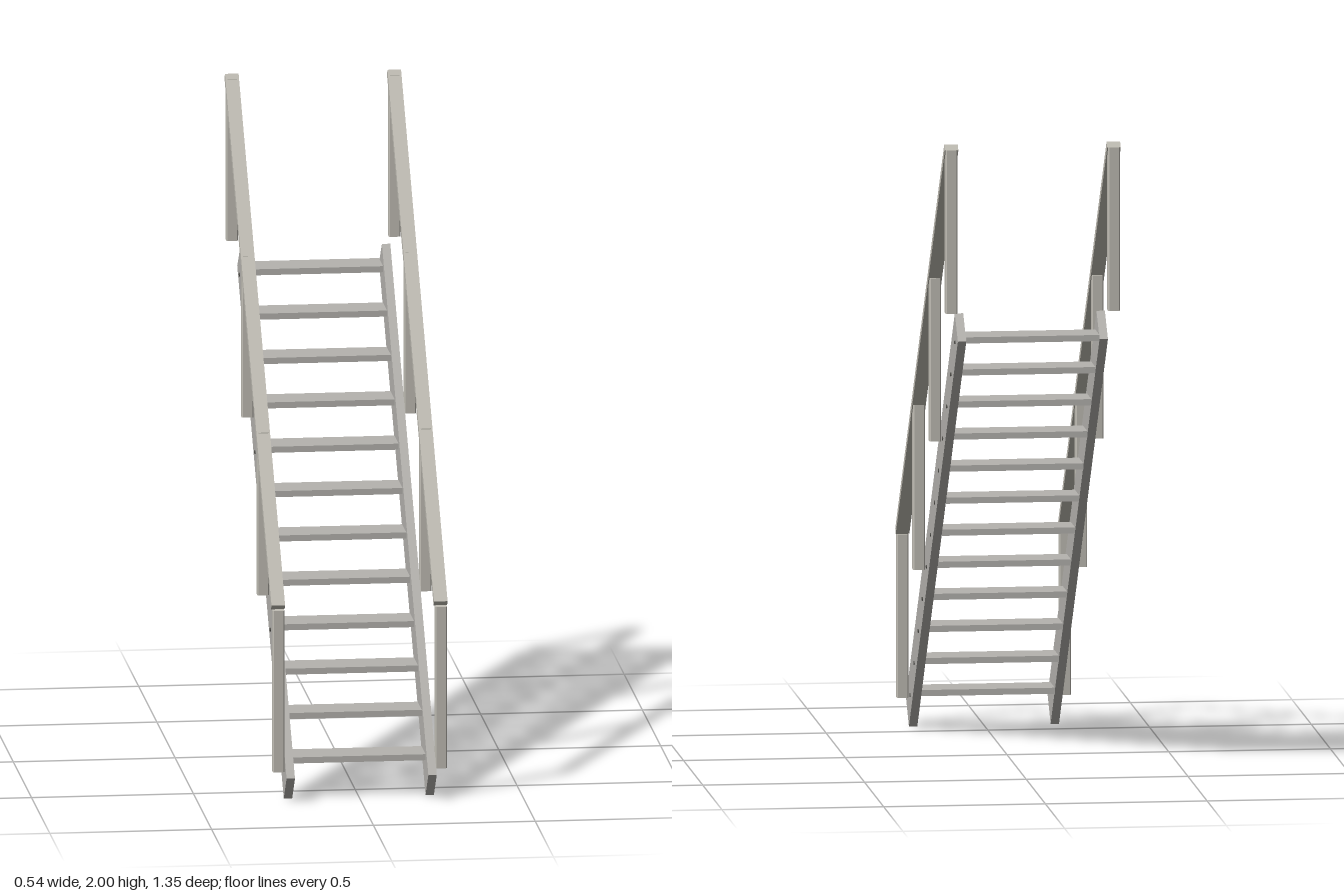
import * as THREE from 'three';

export function createModel() {
  const group = new THREE.Group();
  group.name = 'staircase';
  const mat = (name, color) => {
    const m = new THREE.MeshStandardMaterial({ color });
    m.name = name;
    return m;
  };
  const stepGrey = mat('step grey', 0xb5b3af);
  const railGrey = mat('rail warm grey', 0xc0bdb4);
  const boltGrey = mat('bolt dark grey', 0x55544f);

  const add = (name, geometry, material, x = 0, y = 0, z = 0) => {
    const mesh = new THREE.Mesh(geometry, material);
    mesh.name = name;
    mesh.position.set(x, y, z);
    group.add(mesh);
    return mesh;
  };

  // Side profile given as [z, y] points, extruded along x and centred on x = 0
  const sideProfile = (points, width) => {
    const shape = new THREE.Shape(points.map(([z, y]) => new THREE.Vector2(-z, y)));
    return new THREE.ExtrudeGeometry(shape, { depth: width, bevelEnabled: false })
      .translate(0, 0, -width / 2)
      .rotateY(Math.PI / 2);
  };

  const stringer = sideProfile([[0.6, 0], [0.678, 0.08], [-0.595, 1.466], [-0.675, 1.39]], 0.026);
  const handrail = sideProfile([[0.606, 0.598], [0.62, 0.613], [-0.655, 2], [-0.672, 1.984]], 0.042);

  // Square post with slightly cut corners, standing on y = 0
  const post = (height) => {
    const a = 0.018, b = 0.0145, c = 0.014;
    const shape = new THREE.Shape([
      [a, -c], [a, c], [b, a], [-b, a], [-a, c], [-a, -c], [-b, -a], [b, -a],
    ].map(([x, y]) => new THREE.Vector2(x, y)));
    return new THREE.ExtrudeGeometry(shape, { depth: height, bevelEnabled: false })
      .rotateX(-Math.PI / 2);
  };

  // Treads
  const STEPS = 12, RISE = 0.1158, RUN = 0.106;
  const tread = new THREE.BoxGeometry(0.412, 0.019, 0.114);
  const bolt = new THREE.CylinderGeometry(0.006, 0.006, 0.004, 10).rotateZ(Math.PI / 2);
  for (let i = 0; i < STEPS; i++) {
    add('tread', tread, stepGrey, 0, 0.12 + i * RISE, 0.547 - i * RUN);
  }

  // Stringers, bolts, posts and handrails on both sides
  const posts = [[0.614, 0.09, 0.598], [0.19, 0.552, 1.064], [-0.234, 1.016, 1.523], [-0.658, 1.477, 1.985]];
  for (const [side, s] of [['left', 1], ['right', -1]]) {
    add(side + 'Stringer', stringer, stepGrey, s * 0.219);
    add(side + 'Handrail', handrail, railGrey, s * 0.251);
    for (const [z, y0, y1] of posts) {
      add(side + 'Post', post(y1 - y0), railGrey, s * 0.251, y0, z);
    }
    for (let i = 0; i < STEPS; i++) {
      add(side + 'Bolt', bolt, boltGrey, s * 0.2325, 0.104 + i * RISE, 0.56 - i * RUN);
    }
  }
  return group;
}
